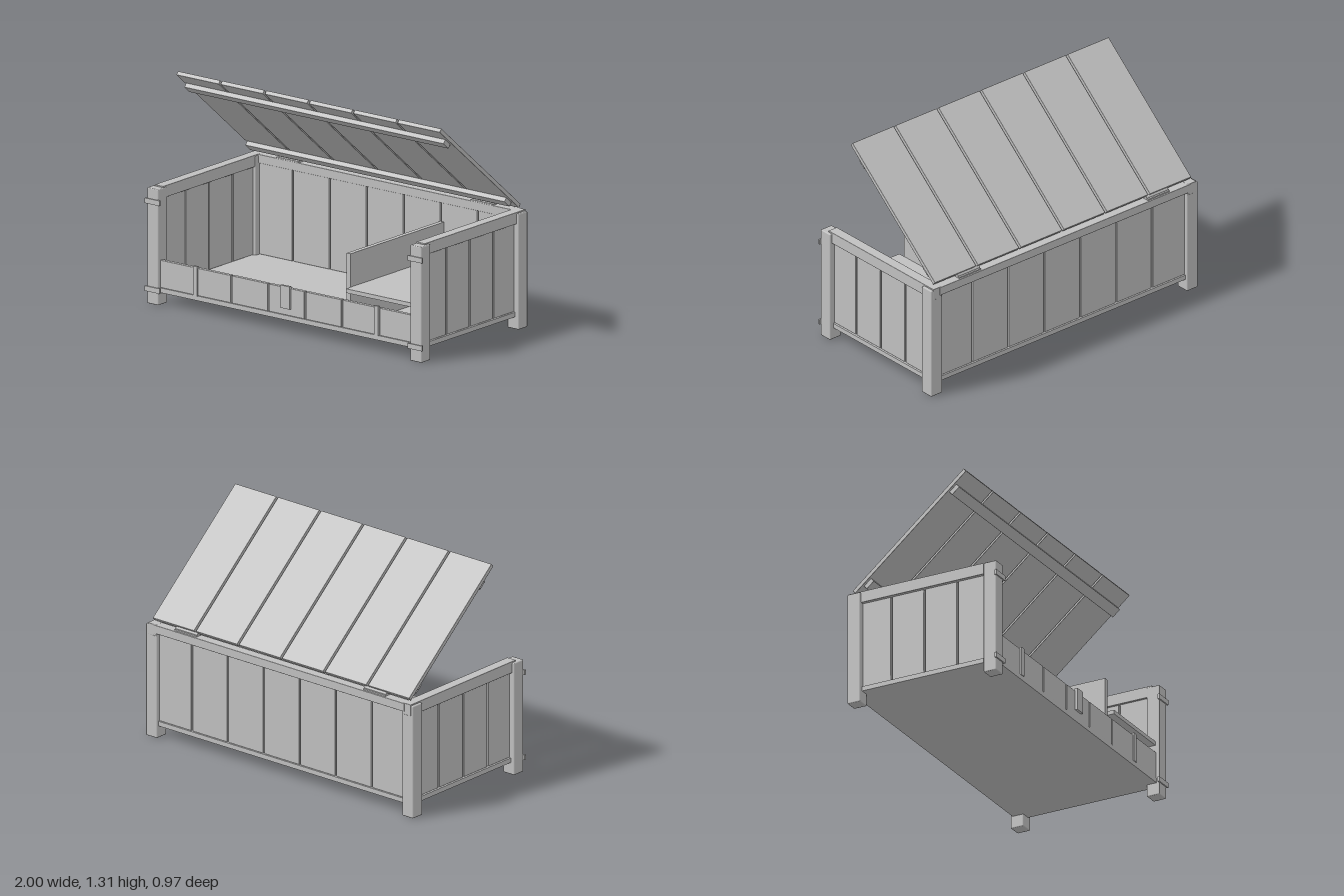
import * as THREE from 'three';
import { RoundedBoxGeometry } from 'three/addons/geometries/RoundedBoxGeometry.js';

const grey = new THREE.MeshStandardMaterial({ color: 0xc0c0c0 });
grey.name = 'plain grey';

// Box given by its min and max on each axis, with a slight bevel if asked for
function block(parent, name, [x0, x1], [y0, y1], [z0, z1], bevel = 0) {
  const w = x1 - x0, h = y1 - y0, d = z1 - z0;
  const geometry = bevel
    ? new RoundedBoxGeometry(w, h, d, 1, bevel)
    : new THREE.BoxGeometry(w, h, d);
  const mesh = new THREE.Mesh(geometry, grey);
  mesh.name = name;
  mesh.position.set((x0 + x1) / 2, (y0 + y1) / 2, (z0 + z1) / 2);
  parent.add(mesh);
  return mesh;
}

// Split a length into equal boards with gaps, calling back with each range
function boards(start, end, count, gap, place) {
  const step = (end - start) / count;
  for (let i = 0; i < count; i++) {
    place([start + i * step + gap / 2, start + (i + 1) * step - gap / 2]);
  }
}

function group(parent, name) {
  const g = new THREE.Group();
  g.name = name;
  parent.add(g);
  return g;
}

export function createModel() {
  const model = new THREE.Group();
  model.name = 'storageChest';

  // Floor, whose edges form the lower rails
  block(model, 'floor', [-0.965, 0.965], [0.072, 0.1], [-0.465, 0.462]);

  for (const s of [-1, 1]) {
    const span = (a, b) => (s > 0 ? [a, b] : [-b, -a]);
    const side = group(model, s > 0 ? 'leftSide' : 'rightSide');

    // Corner posts
    block(side, 'frontPost', span(0.908, 0.99), [0, 0.678], [0.398, 0.48], 0.006);
    block(side, 'backPost', span(0.908, 0.99), [0, 0.678], [-0.478, -0.396], 0.006);

    // Side boards and top rail
    boards(-0.425, 0.425, 4, 0.008, (z) =>
      block(side, 'sideBoard', span(0.925, 0.955), [0.1, 0.63], z, 0.004));
    block(side, 'sideTopRail', span(0.912, 0.975), [0.617, 0.686], [-0.48, 0.43], 0.003);

    // Metal brackets across the front posts
    for (const y of [0.072, 0.586]) {
      block(side, 'postBracket', span(0.895, 1), [y, y + 0.03], [0.476, 0.487]);
    }

    // Upright straps on the low front panel
    block(side, 'frontStrap', span(0.637, 0.668), [0.1, 0.272], [0.452, 0.467]);
  }

  // Back wall
  const back = group(model, 'backWall');
  boards(-0.933, 0.933, 7, 0.008, (x) =>
    block(back, 'backBoard', x, [0.1, 0.65], [-0.457, -0.43], 0.004));
  block(back, 'backTopRail', [-0.93, 0.93], [0.634, 0.685], [-0.485, -0.425], 0.003);

  // Low front panel with its catch
  const front = group(model, 'frontPanel');
  boards(-0.933, 0.933, 7, 0.008, (x) =>
    block(front, 'frontBoard', x, [0.1, 0.262], [0.434, 0.459], 0.004));
  block(front, 'catchPlate', [-0.034, 0.034], [0.142, 0.275], [0.457, 0.474]);

  // Inner divider and shelf
  block(model, 'divider', [0.398, 0.426], [0.1, 0.525], [-0.43, 0.413]);
  block(model, 'shelf', [0.426, 0.926], [0.306, 0.33], [-0.43, 0.455]);

  // Open lid: local z runs up the slope, y = 0 is the underside
  const lid = group(model, 'lid');
  lid.position.set(0, 0.696, -0.449);
  lid.rotation.x = -THREE.MathUtils.degToRad(40);
  boards(-0.957, 0.957, 6, 0.013, (x) =>
    block(lid, 'lidBoard', x, [0, 0.025], [0, 0.933], 0.003));
  for (const z of [0.093, 0.81]) {
    block(lid, 'lidBatten', [-0.935, 0.935], [-0.028, 0], [z - 0.03, z + 0.03], 0.002);
  }

  // Hinges: lower leaf, upper leaf and pin
  for (const x of [-0.7, 0.7]) {
    const hinge = group(model, 'hinge');
    block(hinge, 'hingeLeaf', [x - 0.08, x + 0.08], [0.685, 0.693], [-0.475, -0.425]);
    block(lid, 'lidHingeLeaf', [x - 0.08, x + 0.08], [-0.006, 0], [0, 0.06]);
    const pin = new THREE.Mesh(new THREE.CylinderGeometry(0.01, 0.01, 0.16, 12), grey);
    pin.name = 'hingePin';
    pin.rotation.z = Math.PI / 2;
    pin.position.set(x, 0.696, -0.455);
    hinge.add(pin);
  }

  return model;
}
